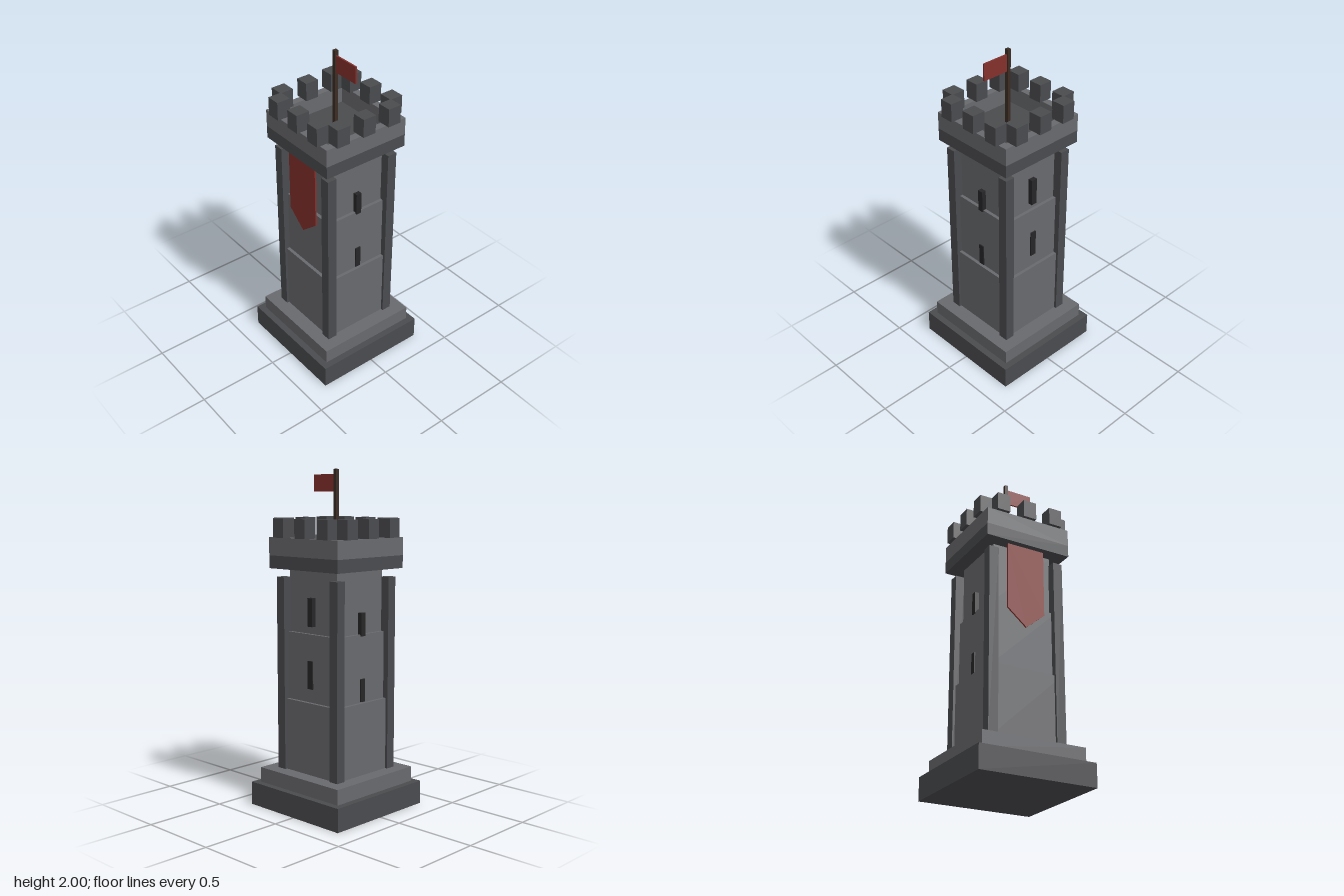
import * as THREE from 'three';

const mat = (color) => new THREE.MeshStandardMaterial({ color, flatShading: true });

export function createModel() {
  const tower = new THREE.Group();
  tower.name = 'watchtower';
  const stone = mat(0x68696d), darkStone = mat(0x4a4b4e), slitDark = mat(0x262628);
  const cloth = mat(0x84302c), wood = mat(0x3c2d24);

  // Box of width w and depth d, spanning heights y0..y1, centred on (x, z)
  function block(name, material, w, y0, y1, d = w, x = 0, z = 0, parent = tower) {
    const mesh = new THREE.Mesh(new THREE.BoxGeometry(w, y1 - y0, d), material);
    mesh.name = name;
    mesh.position.set(x, (y0 + y1) / 2, z);
    parent.add(mesh);
    return mesh;
  }

  // Stepped base
  block('basePlinth', darkStone, 0.72, 0, 0.14);
  block('baseStep', stone, 0.64, 0.14, 0.23);

  // Shaft, narrowing in three tiers
  block('lowerTier', stone, 0.46, 0.23, 0.66);
  block('middleTier', stone, 0.42, 0.66, 1.06);
  block('upperTier', stone, 0.38, 1.06, 1.43);

  // Corner buttresses
  for (const x of [-0.215, 0.215])
    for (const z of [-0.215, 0.215])
      block('cornerButtress', darkStone, 0.06, 0.23, 1.38, 0.06, x, z);

  // Arrow slits: two on each side, two taller ones at the back
  for (const side of [-1, 1])
    for (const y of [0.665, 1.05])
      block('sideArrowSlit', slitDark, 0.04, y, y + 0.135, 0.035, side * 0.197, 0);
  for (const y of [0.74, 1.105])
    block('backArrowSlit', slitDark, 0.038, y, y + 0.165, 0.04, 0, -0.198);

  // Platform slab and the parapet wall around it
  block('platform', darkStone, 0.55, 1.43, 1.505);
  const ring = new THREE.Shape();
  ring.moveTo(-0.275, -0.275).lineTo(0.275, -0.275).lineTo(0.275, 0.275).lineTo(-0.275, 0.275).closePath();
  const hole = new THREE.Path();
  hole.moveTo(-0.23, -0.23).lineTo(-0.23, 0.23).lineTo(0.23, 0.23).lineTo(0.23, -0.23).closePath();
  ring.holes.push(hole);
  const parapet = new THREE.Mesh(
    new THREE.ExtrudeGeometry(ring, { depth: 0.105, bevelEnabled: false }), stone);
  parapet.name = 'parapet';
  parapet.rotation.x = -Math.PI / 2;
  parapet.position.y = 1.505;
  tower.add(parapet);

  // Three merlons along each wall
  for (let i = 0; i < 4; i++) {
    const wall = new THREE.Group();
    wall.name = 'merlonRow';
    wall.rotation.y = i * Math.PI / 2;
    for (const x of [-0.176, 0, 0.176])
      block('merlon', darkStone, 0.084, 1.61, 1.72, 0.084, x, 0.253, wall);
    tower.add(wall);
  }

  // Hanging banner with a pointed end
  const outline = new THREE.Shape();
  outline.moveTo(-0.12, 1.43).lineTo(-0.12, 1.015).lineTo(0, 0.915).lineTo(0.12, 1.015).lineTo(0.12, 1.43).closePath();
  const banner = new THREE.Mesh(
    new THREE.ExtrudeGeometry(outline, { depth: 0.01, bevelEnabled: false }), cloth);
  banner.name = 'banner';
  banner.position.z = 0.229;
  tower.add(banner);

  // Flagpole and flag
  block('flagpole', wood, 0.022, 1.505, 2);
  block('flag', cloth, 0.166, 1.87, 1.97, 0.01, 0.093, 0);

  return tower;
}
